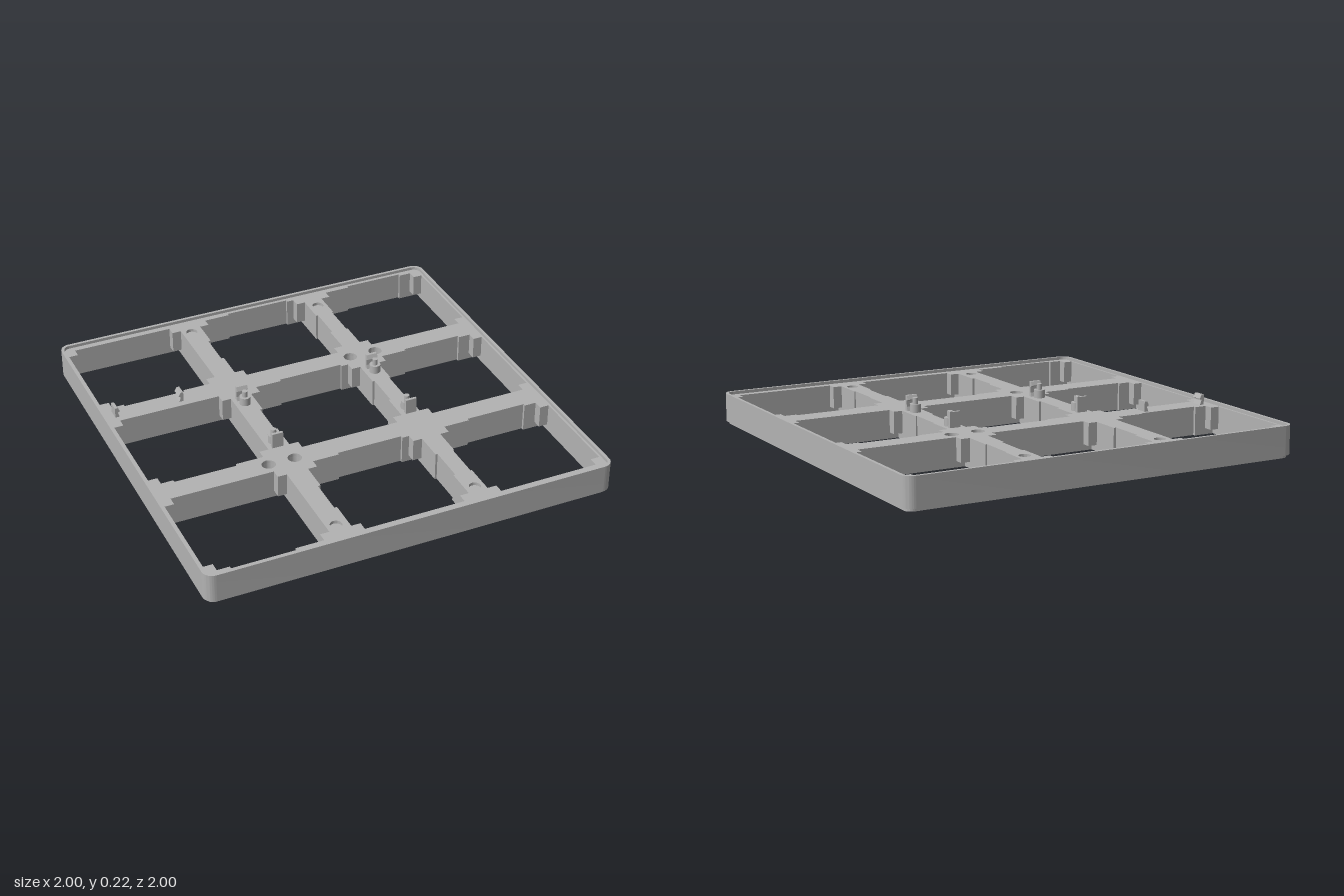
import * as THREE from 'three';
import { toCreasedNormals } from 'three/addons/utils/BufferGeometryUtils.js';

const POST = 0.045;   // corner post size
const TOP = 0.14;     // top of the lattice

// Rounded square outline, half size h and corner radius r
function roundedSquare(target, h, r) {
  const k = h - r;
  target.moveTo(-k, -h);
  target.lineTo(k, -h);
  target.absarc(k, -k, r, -Math.PI / 2, 0, false);
  target.absarc(k, k, r, 0, Math.PI / 2, false);
  target.absarc(-k, k, r, Math.PI / 2, Math.PI, false);
  target.absarc(-k, -k, r, Math.PI, Math.PI * 1.5, false);
  return target;
}

// Openings of the lattice; z grows towards the front
const columns = [
  { x0: -0.975, x1: -0.385, recess: [-0.87, -0.565], front: true },
  { x0: -0.28, x1: 0.30, recess: [-0.105, 0.22], front: false },
  { x0: 0.395, x1: 0.975, recess: [0.57, 0.87], front: false },
];
const rows = [
  { z0: -0.955, z1: -0.40, mid: -0.677 },
  { z0: -0.28, z1: 0.27, mid: -0.005 },
  { z0: 0.395, z1: 0.95, mid: 0.667 },
];

// One opening, with shallow recesses in its edges and optional corner posts
function cellPath(col, row, posts) {
  const { x0, x1, recess: [a, b] } = col, { z0, z1, mid } = row;
  const p = posts ? POST : 0, d = 0.013, h = 0.088;
  const pts = [];
  if (p) pts.push([x0, z0 + p], [x0 + p, z0 + p], [x0 + p, z0]);
  else pts.push([x0, z0]);
  if (!col.front) pts.push([a, z0], [a, z0 - d], [b, z0 - d], [b, z0]);
  if (p) pts.push([x1 - p, z0], [x1 - p, z0 + p], [x1, z0 + p]);
  else pts.push([x1, z0]);
  if (x1 < 0.9 && x1 > 0) pts.push([x1, mid - h], [x1 + 0.01, mid - h], [x1 + 0.01, mid + h], [x1, mid + h]);
  if (p) pts.push([x1, z1 - p], [x1 - p, z1 - p], [x1 - p, z1]);
  else pts.push([x1, z1]);
  if (col.front) pts.push([b, z1], [b, z1 + d], [a, z1 + d], [a, z1]);
  if (p) pts.push([x0 + p, z1], [x0 + p, z1 - p], [x0, z1 - p]);
  else pts.push([x0, z1]);
  if (x0 > -0.9) {
    const e = x0 < 0 ? 0.013 : 0.007;
    pts.push([x0, mid + h], [x0 - e, mid + h], [x0 - e, mid - h], [x0, mid - h]);
  }
  return new THREE.Path(pts.map(([x, z]) => new THREE.Vector2(x, -z)));
}

function circlePath([x, z], r) {
  const c = new THREE.Path();
  c.absarc(x, -z, r, 0, Math.PI * 2, true);
  return c;
}

// Extrude a plan shape upwards between two heights
function slab(shape, y0, y1) {
  const g = new THREE.ExtrudeGeometry(shape, { depth: y1 - y0, bevelEnabled: false, curveSegments: 12 });
  g.rotateX(-Math.PI / 2);
  g.translate(0, y0, 0);
  return toCreasedNormals(g, 0.6);
}

export function createModel() {
  const group = new THREE.Group();
  const grey = new THREE.MeshStandardMaterial({ color: 0xb3b3b3 });
  grey.name = 'grey plastic';
  const add = (name, geometry, parent = group) => {
    const m = new THREE.Mesh(geometry, grey);
    m.name = name;
    parent.add(m);
    return m;
  };

  // Outer wall, starting just above the inset base
  const wall = roundedSquare(new THREE.Shape(), 1, 0.05);
  wall.holes.push(roundedSquare(new THREE.Path(), 0.985, 0.035));
  add('outerWall', slab(wall, 0.015, 0.155));

  // Lattice in three layers: plain base, posts, top with round dimples
  const throughHoles = [[0.295, -0.34], [0.43, -0.34], [-0.43, 0.335], [-0.30, 0.335]];
  const dimples = [[-0.337, -0.88], [0.35, -0.855], [-0.337, 0.87], [0.35, 0.87]];
  const lattice = (posts, dimpled) => {
    const s = roundedSquare(new THREE.Shape(), 0.985, 0.035);
    for (const c of columns) for (const r of rows) s.holes.push(cellPath(c, r, posts));
    for (const h of throughHoles) s.holes.push(circlePath(h, 0.033));
    if (dimpled) for (const h of dimples) s.holes.push(circlePath(h, 0.028));
    return s;
  };
  add('latticeBase', slab(lattice(false, false), 0, 0.03));
  add('latticeBody', slab(lattice(true, false), 0.03, 0.125));
  add('latticeTop', slab(lattice(true, true), 0.125, TOP));

  // Hooked clip: profile in (outward, up), extruded along its width
  function clip(name, x, z, angle, height, width) {
    const t = 0.007;
    const s = new THREE.Shape([
      [-t, 0], [t + 0.008, 0], [t, 0.02], [t, height - 0.025],
      [t + 0.01, height - 0.02], [t, height], [-t, height],
    ].map(([u, v]) => new THREE.Vector2(u, v)));
    const g = new THREE.ExtrudeGeometry(s, { depth: width, bevelEnabled: false });
    g.translate(0, 0, -width / 2);
    const m = add(name, g);
    m.position.set(x, TOP, z);
    m.rotation.y = angle;
  }

  // Stepped locating pegs, each with a clip beside it
  for (const x of [-0.337, 0.35]) {
    for (const side of [-1, 1]) {
      const peg = new THREE.Group();
      peg.name = 'locatingPeg';
      peg.position.set(x, TOP, side * 0.174);
      add('pegBase', new THREE.CylinderGeometry(0.027, 0.027, 0.04, 24).translate(0, 0.02, 0), peg);
      add('pegTip', new THREE.CylinderGeometry(0.013, 0.013, 0.07, 20).translate(0, 0.035, 0), peg);
      group.add(peg);
      clip('pegClip', x, side * 0.218, side * Math.PI / 2, 0.075, 0.055);
    }
  }

  // Pair of smaller clips on the rear left beam
  clip('beamClip', -0.935, -0.34, 0, 0.05, 0.055);
  clip('beamClip', -0.605, -0.34, Math.PI, 0.05, 0.055);

  return group;
}
